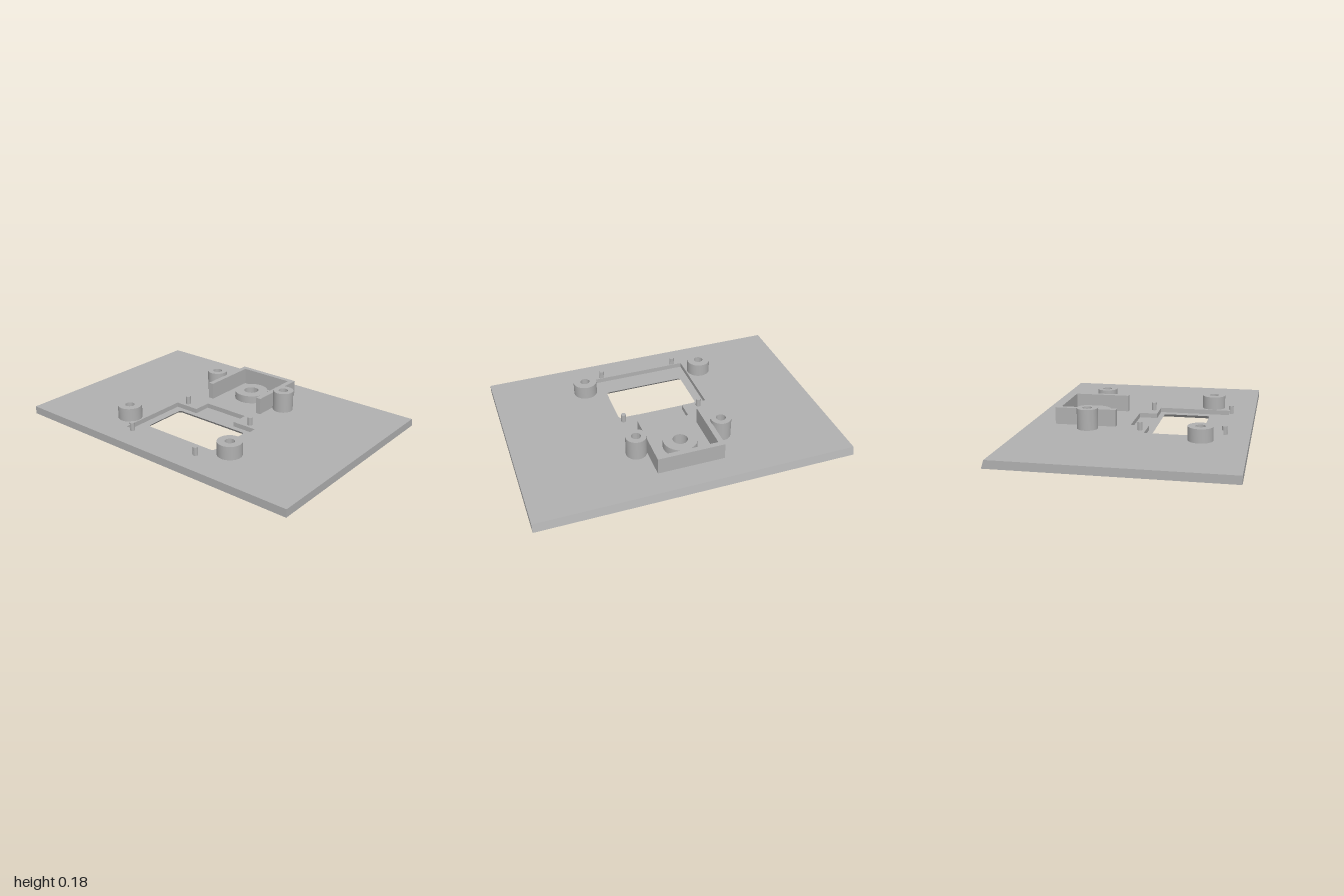
import * as THREE from 'three';
import { toCreasedNormals } from 'three/addons/utils/BufferGeometryUtils.js';

const FLOOR = 0.02, TOP = 0.05; // recess floor and plate top heights

// Outlines are drawn in plan: first value is x, second is z
const outline = (pts, Kind = THREE.Shape) => new Kind(pts.map(([x, z]) => new THREE.Vector2(x, z)));
const rect = (x0, z0, x1, z1) => [[x0, z0], [x1, z0], [x1, z1], [x0, z1]];

function circle(x, z, r, Kind = THREE.Shape) {
  const c = new Kind();
  c.absarc(x, z, r, 0, Math.PI * 2, false);
  return c;
}

function roundedRect(x0, z0, x1, z1, r) {
  const p = new THREE.Path();
  p.absarc(x1 - r, z1 - r, r, 0, Math.PI / 2, false);
  p.absarc(x0 + r, z1 - r, r, Math.PI / 2, Math.PI, false);
  p.absarc(x0 + r, z0 + r, r, Math.PI, Math.PI * 1.5, false);
  p.absarc(x1 - r, z0 + r, r, Math.PI * 1.5, Math.PI * 2, false);
  p.closePath();
  return p;
}

// Raise a plan outline from height y0 to y1
function raise(shape, y0, y1, curveSegments = 20) {
  const g = new THREE.ExtrudeGeometry(shape, { depth: y1 - y0, bevelEnabled: false, curveSegments });
  return g.rotateX(Math.PI / 2).translate(0, y1, 0);
}

// Slope the back edge of the plate and flare the window towards the underside
function shapePlate(g) {
  const p = g.attributes.position;
  for (let i = 0; i < p.count; i++) {
    const x = p.getX(i), y = p.getY(i), z = p.getZ(i);
    if (z < -0.69) p.setZ(i, -0.7 + 0.32 * y);
    if (y < 0.001 && Math.abs(x) < 0.3 && z > 0.05 && z < 0.45) {
      p.setX(i, x * 1.075);
      p.setZ(i, 0.25 + (z - 0.25) * 1.11);
    }
  }
  return g;
}

export function createModel() {
  const model = new THREE.Group();
  model.name = 'mountingPanel';
  const grey = new THREE.MeshStandardMaterial({ color: 0xb0b0b0 });
  grey.name = 'grey';

  const add = (name, geometry) => {
    const mesh = new THREE.Mesh(toCreasedNormals(geometry, 0.6), grey);
    mesh.name = name;
    model.add(mesh);
  };

  // Lower plate layer: window, curved groove and three small blind holes
  const lower = outline(rect(-1, -0.7, 1, 0.7));
  lower.holes.push(roundedRect(-0.265, 0.1, 0.265, 0.4, 0.02));
  const groove = new THREE.Path();
  const mid = -Math.PI / 2, half = 0.77, zc = -0.175;
  groove.absarc(0, zc, 0.425, mid - half, mid + half, false);
  groove.absarc(0, zc, 0.395, mid + half, mid - half, true);
  groove.closePath();
  lower.holes.push(groove);
  for (const [x, z] of [[-0.06, -0.35], [0.06, -0.35], [0, -0.25]]) {
    lower.holes.push(circle(x, z, 0.011, THREE.Path));
  }
  add('plateBottom', shapePlate(raise(lower, 0, FLOOR)));

  // Upper plate layer: stepped recess around the window and the centre bore
  const upper = outline(rect(-1, -0.7, 1, 0.7));
  upper.holes.push(outline([
    [-0.32, 0.065], [-0.155, 0.065], [-0.155, -0.05], [0.155, -0.05],
    [0.155, 0.065], [0.32, 0.065], [0.32, 0.535], [-0.32, 0.535],
  ], THREE.Path));
  upper.holes.push(circle(0, -0.32, 0.047, THREE.Path));
  add('plateTop', shapePlate(raise(upper, FLOOR, TOP)));

  // Hollow round bosses
  const boss = (name, x, z, r, bore, top) => {
    const ring = circle(x, z, r);
    ring.holes.push(circle(x, z, bore, THREE.Path));
    add(name, raise(ring, TOP, top));
  };
  boss('centreRing', 0, -0.32, 0.108, 0.047, 0.1);

  // U-shaped wall, open to the front
  add('wall', raise(outline([
    [-0.213, -0.52], [0.213, -0.52], [0.213, -0.133], [0.18, -0.133],
    [0.18, -0.487], [-0.18, -0.487], [-0.18, -0.133], [-0.213, -0.133],
  ]), TOP, 0.157));

  for (const [side, s] of [['left', 1], ['right', -1]]) {
    boss(side + 'BackBoss', s * 0.275, -0.297, 0.065, 0.03, 0.18);
    boss(side + 'FrontBoss', s * 0.405, 0.417, 0.076, 0.03, 0.135);

    // Locating pegs; the front pair have a hooked head
    add(side + 'BackPeg', raise(circle(s * 0.256, 0.029, 0.016), TOP, 0.102, 8));
    add(side + 'FrontPegHead', raise(circle(s * 0.256, 0.546, 0.016), 0.077, 0.102, 8));
    const stem = new THREE.Shape();
    stem.absarc(s * 0.256, 0.546, 0.016, -0.4, Math.PI + 0.4, false);
    stem.closePath();
    add(side + 'FrontPegStem', raise(stem, TOP, 0.077, 8));
  }
  return model;
}
